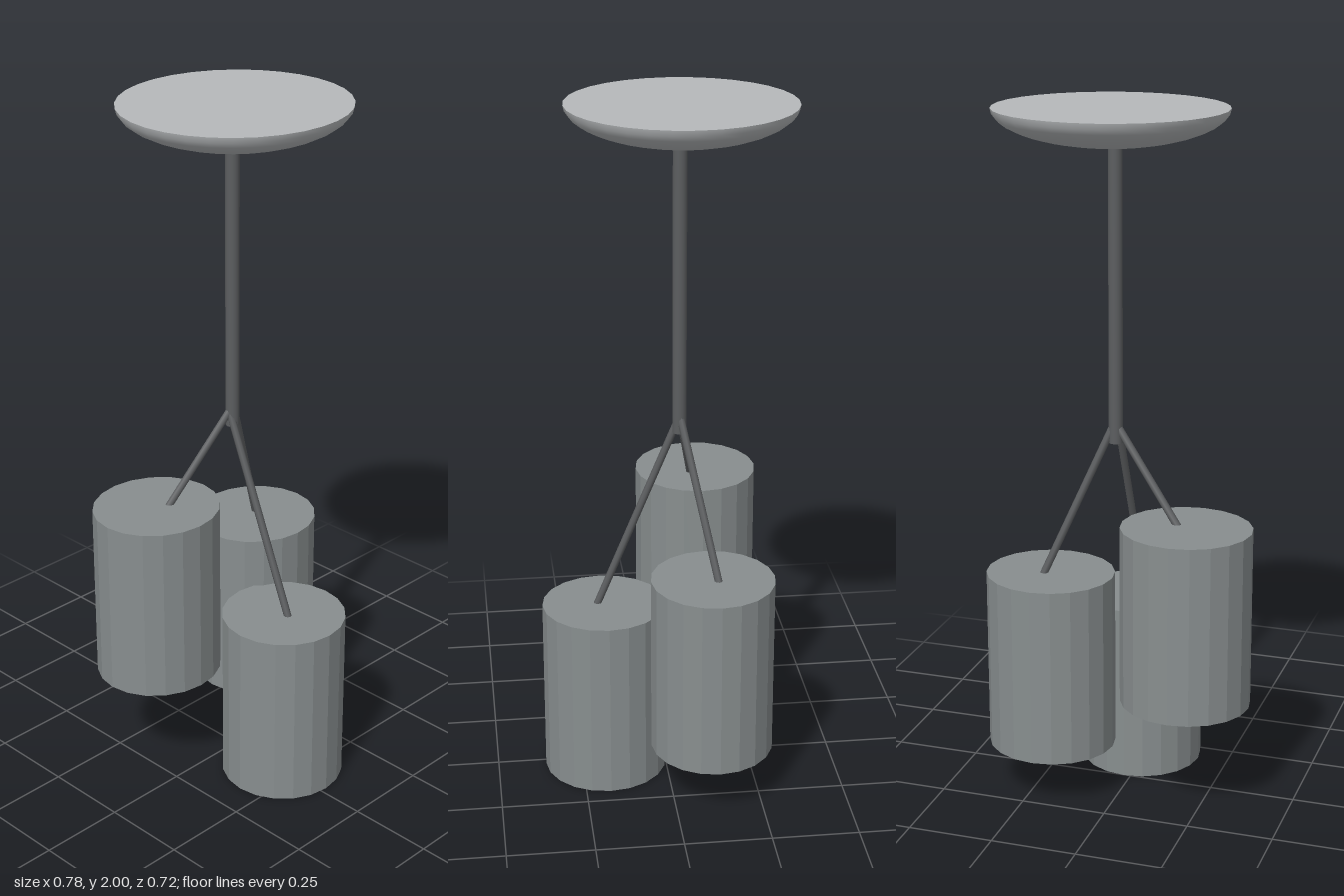
import * as THREE from 'three';

const ceilingGrey = new THREE.MeshStandardMaterial({ color: 0xb6b9bb });
const darkMetal = new THREE.MeshStandardMaterial({ color: 0x5c5e60 });
const shadeGrey = new THREE.MeshStandardMaterial({ color: 0x888e8f, flatShading: true });
const bulbGrey = new THREE.MeshStandardMaterial({ color: 0xcccccc });
const V2 = (x, y) => new THREE.Vector2(x, y);
const V3 = (x, y, z) => new THREE.Vector3(x, y, z);

function part(name, geometry, material) {
  const mesh = new THREE.Mesh(geometry, material);
  mesh.name = name;
  return mesh;
}

// Straight round bar between two points
function bar(name, a, b, radius, sides) {
  const mesh = part(name, new THREE.CylinderGeometry(radius, radius, a.distanceTo(b), sides), darkMetal);
  mesh.position.copy(a).add(b).multiplyScalar(0.5);
  mesh.quaternion.setFromUnitVectors(V3(0, 1, 0), b.clone().sub(a).normalize());
  return mesh;
}

// Shallow bowl with a flat top against the ceiling
function makeCanopy() {
  const canopy = new THREE.Group();
  canopy.name = 'canopy';
  const profile = [];
  for (let i = 0; i <= 10; i++) {
    const a = (i / 10) * Math.PI / 2;
    profile.push(V2(Math.sin(a), -0.102 * Math.cos(a)));
  }
  const top = part('canopyTop', new THREE.CircleGeometry(1, 32), ceilingGrey);
  top.rotation.x = -Math.PI / 2;
  canopy.add(part('canopyBowl', new THREE.LatheGeometry(profile, 32), ceilingGrey), top);
  canopy.scale.set(0.326, 1, 0.316);
  canopy.position.set(0.042, 2, -0.043);
  return canopy;
}

// Thick-walled cylinder, closed above and open below, with a bulb inside
function makeLamp({ name, x, z, rx, rz, y0, y1, bulbY, armTop, hook }) {
  const lamp = new THREE.Group();
  lamp.name = name;
  const h = y1 - y0, inner = 0.9, lid = h - 0.018;
  const shade = part('shade', new THREE.LatheGeometry([
    V2(0, lid), V2(inner, lid), V2(inner, 0), V2(1, 0), V2(1, h), V2(0, h),
  ], 20), shadeGrey);
  shade.scale.set(rx, 1, rz);
  shade.position.set(x, y0, z);

  const bulb = part('bulb', new THREE.SphereGeometry(0.057, 20, 14), bulbGrey);
  bulb.position.set(x, bulbY, z);
  const socket = bar('socket', V3(x, bulbY + 0.04, z), V3(x, y1 - 0.01, z), 0.025, 12);
  lamp.add(shade, bulb, socket, bar('arm', armTop, hook, 0.011, 8));
  return lamp;
}

export function createModel() {
  const model = new THREE.Group();
  model.name = 'pendantLamp';
  model.add(makeCanopy());
  model.add(bar('stem', V3(0.03, 1.058, -0.041), V3(0.03, 1.93, -0.041), 0.02, 16));

  // Three shades at staggered heights
  const lamps = [
    { name: 'highLamp', x: -0.202, z: -0.117, rx: 0.188, rz: 0.177, y0: 0.328, y1: 0.853, bulbY: 0.4, armTop: V3(0.026, 1.11, -0.042), hook: V3(-0.175, 0.842, -0.1) },
    { name: 'middleLamp', x: 0.203, z: -0.117, rx: 0.186, rz: 0.177, y0: 0.15, y1: 0.676, bulbY: 0.4, armTop: V3(0.036, 1.11, -0.042), hook: V3(0.222, 0.666, -0.132) },
    { name: 'lowLamp', x: 0.02, z: 0.178, rx: 0.18, rz: 0.18, y0: 0, y1: 0.528, bulbY: 0.36, armTop: V3(0.02, 1.1, -0.042), hook: V3(0.017, 0.518, 0.2) },
  ];
  for (const spec of lamps) model.add(makeLamp(spec));
  return model;
}
